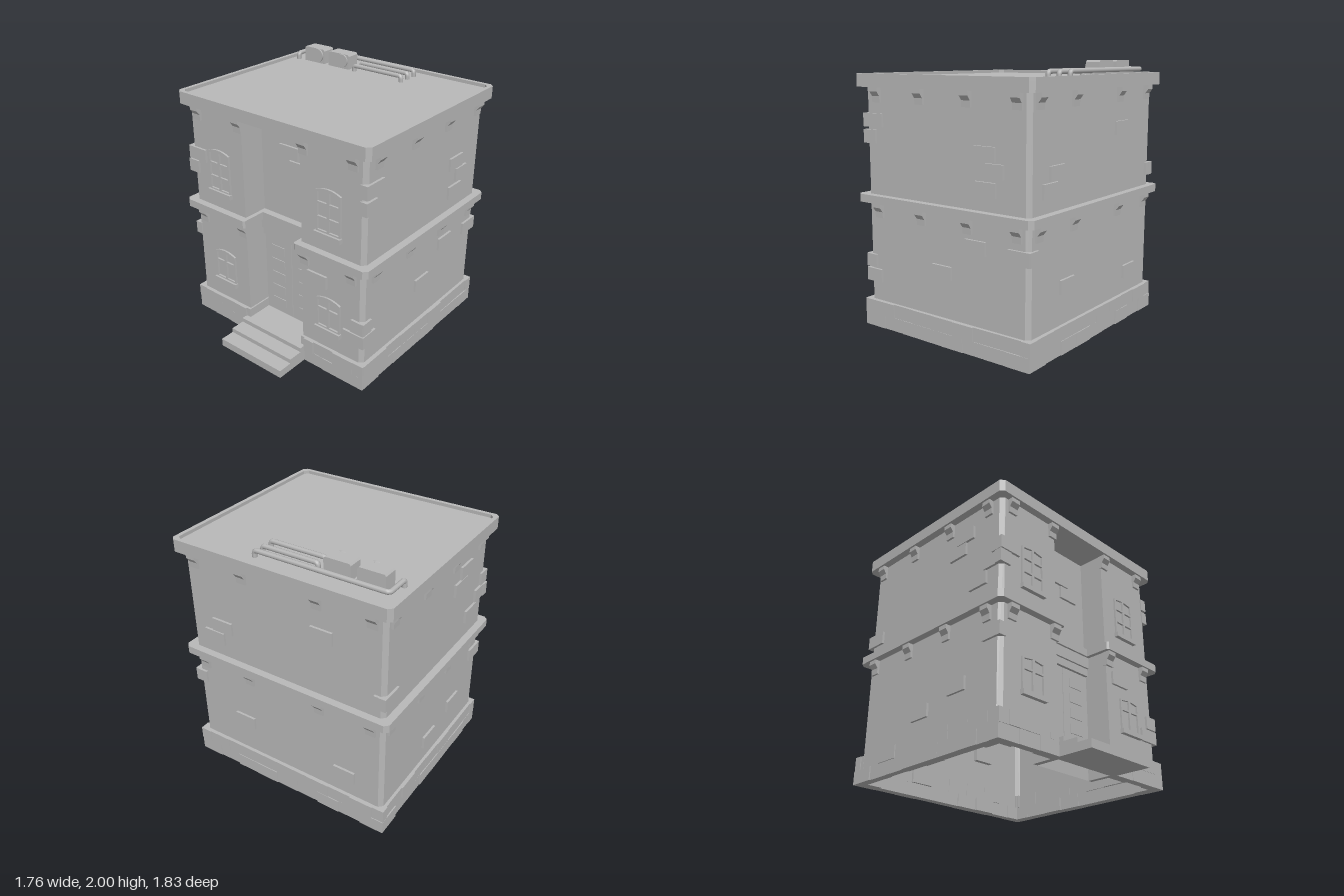
import * as THREE from 'three';

const stone = new THREE.MeshStandardMaterial({ color: 0xb8b8b8, side: THREE.DoubleSide });
stone.name = 'grey stone';

// Wall planes
const W = 0.822, ZF = 0.615, ZB = -0.86, RX0 = -0.28, RX1 = 0.272, ZR = 0.41;

function add(parent, name, geo, x = 0, y = 0, z = 0) {
  const m = new THREE.Mesh(geo, stone);
  m.name = name;
  m.position.set(x, y, z);
  parent.add(m);
  return m;
}

// Box given by its limits
function block(parent, name, x0, x1, y0, y1, z0, z1) {
  return add(parent, name, new THREE.BoxGeometry(x1 - x0, y1 - y0, z1 - z0),
    (x0 + x1) / 2, (y0 + y1) / 2, (z0 + z1) / 2);
}

// Floor outline as [x, z]: chamfered rectangle grown by g, with an optional entrance notch
function outline(g, c, notch) {
  const x = W + g, f = ZF + g, b = ZB - g;
  const p = [[-x, b + c], [-x, f - c], [-x + c, f]];
  if (notch) {
    const k = g * 0.6, n = k * 0.4;
    const l = RX0 + k, r = RX1 - k, zr = ZR + g;
    if (g) p.push([l - n, f], [l, f - n], [l, zr], [r, zr], [r, f - n], [r + n, f]);
    else p.push([l, f], [l, zr], [r, zr], [r, f]);
  }
  p.push([x - c, f], [x, f - c], [x, b + c], [x - c, b], [-x + c, b]);
  return p;
}

// Horizontal slab from an outline, with an optional opening
function slab(parent, name, pts, y0, y1, hole) {
  const v = a => a.map(([x, z]) => new THREE.Vector2(x, -z));
  const s = new THREE.Shape(v(pts));
  if (hole) s.holes.push(new THREE.Path(v(hole)));
  const g = new THREE.ExtrudeGeometry(s, { depth: y1 - y0, bevelEnabled: false });
  g.rotateX(-Math.PI / 2);
  return add(parent, name, g, 0, y0, 0);
}

// A brick on one side: u is x on front, back and entry, z on left and right
function brick(parent, side, u0, u1, y0, y1, out = 0.018, inn = 0.04) {
  const n = side + 'Brick';
  if (side === 'front') block(parent, n, u0, u1, y0, y1, ZF - inn, ZF + out);
  if (side === 'entry') block(parent, n, u0, u1, y0, y1, ZR - inn, ZR + out);
  if (side === 'back') block(parent, n, u0, u1, y0, y1, ZB - out, ZB + inn);
  if (side === 'left') block(parent, n, W - inn, W + out, y0, y1, u0, u1);
  if (side === 'right') block(parent, n, -W - out, -W + inn, y0, y1, u0, u1);
}

function makeWindow(parent, x, y, h, rows) {
  const g = new THREE.Group();
  g.name = 'window';
  const w = 0.108, t = 0.016;
  // Arched frame with pane openings
  const s = new THREE.Shape();
  s.moveTo(-w, 0);
  s.lineTo(w, 0);
  s.lineTo(w, h - 0.025);
  s.quadraticCurveTo(0, h + 0.025, -w, h - 0.025);
  s.closePath();
  rows.forEach(([a, b], i) => {
    const rise = i === rows.length - 1 ? 0.012 : 0;
    for (const d of [-1, 1]) {
      const p = new THREE.Path();
      p.moveTo(d * 0.01, a);
      p.lineTo(d * 0.01, b + rise);
      p.lineTo(d * (w - t), b);
      p.lineTo(d * (w - t), a);
      p.closePath();
      s.holes.push(p);
    }
  });
  add(g, 'windowFrame', new THREE.ExtrudeGeometry(s, { depth: 0.035, bevelEnabled: false, curveSegments: 6 }), 0, 0, -0.02);
  block(g, 'windowSill', -0.116, 0.116, -0.032, 0.004, -0.02, 0.032);
  g.position.set(x, y, ZF);
  parent.add(g);
}

// Stepped bracket under a cornice; local +z points outwards
function bracket(parent, x, y, z, turn) {
  const s = new THREE.Shape([[-0.02, 0], [0.016, 0], [0.018, 0.045], [0.042, 0.078], [0.042, 0.112], [-0.02, 0.112]]
    .map(p => new THREE.Vector2(...p)));
  const g = new THREE.ExtrudeGeometry(s, { depth: 0.074, bevelEnabled: false });
  g.translate(0, 0, -0.037).rotateY(-Math.PI / 2);
  add(parent, 'corniceBracket', g, x, y, z).rotation.y = turn;
}

function pipe(parent, pts, y) {
  const path = new THREE.CurvePath();
  const v = pts.map(p => new THREE.Vector3(...p));
  let from = v[0];
  for (let i = 1; i < v.length - 1; i++) {
    const a = v[i].clone().add(v[i - 1].clone().sub(v[i]).setLength(0.022));
    const b = v[i].clone().add(v[i + 1].clone().sub(v[i]).setLength(0.022));
    path.add(new THREE.LineCurve3(from, a));
    path.add(new THREE.QuadraticBezierCurve3(a, v[i], b));
    from = b;
  }
  path.add(new THREE.LineCurve3(from, v[v.length - 1]));
  add(parent, 'roofPipe', new THREE.TubeGeometry(path, 90, 0.018, 8), 0, y, 0);
}

export function createModel() {
  const root = new THREE.Group();
  root.name = 'townHouse';

  // Hollow outer walls, open below
  const walls = new THREE.Group();
  walls.name = 'walls';
  root.add(walls);
  const o = outline(0, 0.03, true);
  o.forEach(([x0, z0], i) => {
    const [x1, z1] = o[(i + 1) % o.length];
    const m = add(walls, 'wall', new THREE.PlaneGeometry(Math.hypot(x1 - x0, z1 - z0), 1.82),
      (x0 + x1) / 2, 0.91, (z0 + z1) / 2);
    m.rotation.y = Math.atan2(-(z1 - z0), x1 - x0);
  });

  // Cornices and roof with parapet rim
  slab(root, 'middleCornice', outline(0.056, 0.03, true), 0.96, 1.02);
  slab(root, 'roofSlab', outline(0.056, 0.03, false), 1.81, 1.88);
  slab(root, 'parapet', outline(0.056, 0.03, false), 1.88, 1.905, outline(0.024, 0.03, false));

  // Brackets on all four sides and both floors
  for (const y of [0.85, 1.70]) {
    for (const x of [-0.725, -0.307, 0.305, 0.725]) {
      bracket(root, x, y, ZF, 0);
      bracket(root, x, y, ZB, Math.PI);
    }
    for (const z of [0.488, 0.068, -0.355, -0.77]) {
      bracket(root, W, y, z, Math.PI / 2);
      bracket(root, -W, y, z, -Math.PI / 2);
    }
  }

  // Windows
  for (const x of [-0.525, 0.521]) {
    makeWindow(root, x, 1.167, 0.338, [[0.015, 0.105], [0.12, 0.215], [0.23, 0.302]]);
    makeWindow(root, x, 0.377, 0.268, [[0.015, 0.155], [0.17, 0.232]]);
  }

  // Entrance: double door, frame, lintel, steps
  const entry = new THREE.Group();
  entry.name = 'entrance';
  root.add(entry);
  for (const d of [-1, 1]) {
    const c = d * 0.136 - 0.002;
    block(entry, 'doorLeaf', c - 0.133, c + 0.133, 0.13, 0.805, ZR - 0.01, ZR + 0.012);
    for (let i = 0; i < 5; i++) {
      const y = 0.19 + i * 0.12;
      block(entry, 'doorPanel', c - 0.065, c + 0.065, y, y + 0.07, ZR + 0.01, ZR + 0.018);
    }
  }
  block(entry, 'lowerLintel', RX0, RX1, 0.812, 0.872, ZR - 0.01, ZR + 0.025);
  block(entry, 'upperLintel', RX0, RX1, 0.872, 0.962, ZR - 0.01, ZR + 0.04);
  block(entry, 'landing', RX0, RX1, 0.09, 0.132, ZR, 0.64);
  block(entry, 'topStep', -0.31, 0.302, 0.095, 0.132, 0.6, 0.685);
  block(entry, 'middleStep', -0.31, 0.302, 0.06, 0.097, 0.6, 0.8);
  block(entry, 'bottomStep', -0.31, 0.302, 0, 0.062, 0.6, 0.915);

  // Base of two staggered brick rows
  const base = new THREE.Group();
  base.name = 'base';
  root.add(base);
  let seed = 7;
  const rnd = () => (seed = (seed * 16807) % 2147483647) / 2147483647;
  const runs = [['front', -0.852, -0.305], ['front', 0.3, 0.852], ['back', -0.852, 0.852],
    ['left', ZB - 0.025, ZF + 0.015], ['right', ZB - 0.025, ZF + 0.015]];
  for (const [side, a, b] of runs) {
    for (const row of [0, 1]) {
      const n = Math.round((b - a) / 0.18), step = (b - a) / n;
      for (let i = 0; i <= n; i++) {
        const u0 = Math.max(a, a + (i - row * 0.5) * step), u1 = Math.min(b, a + (i + 1 - row * 0.5) * step);
        if (u1 - u0 > 0.01) {
          brick(base, side, u0, u1, row * 0.103, 0.1 + row * 0.105 + 0.003 * (1 - row), 0.022 + rnd() * 0.012, 0.03 + rnd() * 0.03);
        }
      }
    }
  }
  // Base returns beside the entrance
  block(base, 'baseReturn', -0.31, RX0 + 0.012, 0, 0.205, ZR, ZF + 0.02);
  block(base, 'baseReturn', RX1 - 0.006, 0.302, 0, 0.205, ZR, ZF + 0.02);

  // Scattered loose bricks: side, centre, bottom, length
  const bricks = [
    ['entry', -0.005, 1.51], ['entry', 0.087, 1.4], ['front', -0.748, 1.37], ['front', -0.797, 1.26, 0.1],
    ['front', 0.418, 0.715], ['front', 0.78, 0.46, 0.105], ['front', 0.745, 0.35],
    ['left', 0.53, 1.52, 0.19], ['left', 0.565, 1.4, 0.12], ['left', -0.503, 1.355], ['left', -0.585, 1.245, 0.15],
    ['left', -0.51, 1.12], ['left', -0.422, 0.715], ['left', -0.785, 0.7, 0.18], ['left', -0.118, 0.49],
    ['left', 0.58, 0.46, 0.1], ['left', 0.555, 0.35, 0.15],
    ['back', 0.52, 1.23], ['back', 0.6, 1.12], ['back', -0.34, 1.46], ['back', 0.38, 0.43], ['back', -0.51, 0.33],
    ['back', 0.785, 0.7, 0.1], ['back', -0.79, 1.1, 0.09],
    ['right', 0.17, 1.48], ['right', 0.25, 1.585], ['right', 0.39, 1.15], ['right', 0.2, 0.42], ['right', -0.18, 0.33],
    ['right', 0.58, 1.37, 0.1], ['right', 0.54, 1.26, 0.18], ['right', -0.79, 1.1, 0.18], ['right', 0.54, 0.71, 0.17],
  ];
  for (const [side, c, y, len = 0.176] of bricks) brick(walls, side, c - len / 2, c + len / 2, y, y + 0.1);

  // Roof fan units
  for (const x of [-0.618, -0.365]) {
    const s = new THREE.Shape([[-0.103, 0], [0.103, 0], [0.103, 0.105], [0.093, 0.118], [-0.093, 0.118], [-0.103, 0.105]]
      .map(p => new THREE.Vector2(...p)));
    add(root, 'fanUnit', new THREE.ExtrudeGeometry(s, { depth: 0.115, bevelEnabled: false }), x, 1.88, -0.715);
    add(root, 'fanCover', new THREE.CylinderGeometry(0.054, 0.054, 0.03, 16).rotateX(Math.PI / 2), x + 0.04, 1.945, -0.602);
  }

  // Roof pipes
  pipe(root, [[-0.785, -0.05, -0.595], [-0.785, 0, -0.595], [-0.785, 0, -0.78], [0.245, 0, -0.78], [0.245, -0.05, -0.78]], 1.93);
  for (const z of [-0.692, -0.602]) pipe(root, [[-0.205, -0.05, z], [-0.205, 0, z], [0.245, 0, z], [0.245, -0.05, z]], 1.925);

  return root;
}
